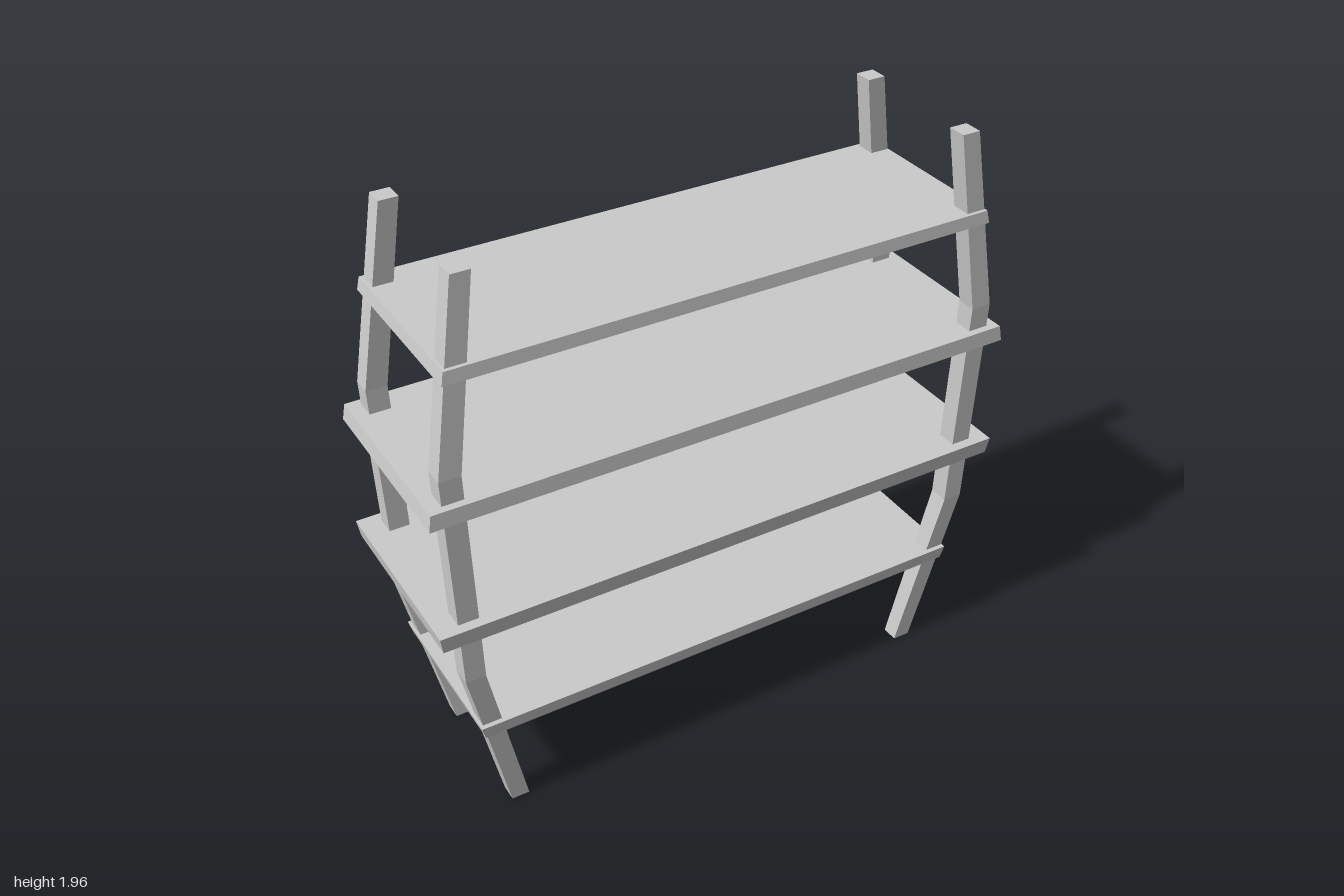
import * as THREE from 'three';

const material = new THREE.MeshStandardMaterial({ color: 0xcccccc, flatShading: true });

// Bent leg stations, bottom to top: y, inner x, outer x, inner z, outer z
const LEG = [
  [0.00, 0.730, 0.790, 0.190, 0.247],
  [0.60, 0.858, 0.924, 0.220, 0.288],
  [1.35, 0.880, 0.949, 0.230, 0.296],
  [1.955, 0.792, 0.853, 0.206, 0.270],
];

// Shelves: bottom y, top y, half width at bottom and top, half depth at bottom and top
const SHELVES = [
  [0.347, 0.392, 0.871, 0.884, 0.285, 0.290],
  [0.775, 0.832, 0.990, 0.999, 0.318, 0.325],
  [1.217, 1.270, 0.995, 0.986, 0.323, 0.320],
  [1.650, 1.692, 0.909, 0.901, 0.298, 0.294],
];

// Box whose vertices are moved by a rule
function shapedBox(name, segments, rule) {
  const geometry = new THREE.BoxGeometry(1, 1, 1, 1, segments, 1);
  const p = geometry.attributes.position;
  for (let i = 0; i < p.count; i++) {
    const level = Math.round((p.getY(i) + 0.5) * segments);
    p.setXYZ(i, ...rule(Math.sign(p.getX(i)), level, Math.sign(p.getZ(i))));
  }
  geometry.computeVertexNormals();
  const mesh = new THREE.Mesh(geometry, material);
  mesh.name = name;
  return mesh;
}

function makeLeg(name, sideX, sideZ) {
  return shapedBox(name, LEG.length - 1, (sx, level, sz) => {
    const [y, xIn, xOut, zIn, zOut] = LEG[level];
    return [sideX * (sx === sideX ? xOut : xIn), y, sideZ * (sz === sideZ ? zOut : zIn)];
  });
}

function makeShelf(name, [y0, y1, w0, w1, d0, d1]) {
  return shapedBox(name, 1, (sx, level, sz) =>
    level ? [sx * w1, y1, sz * d1] : [sx * w0, y0, sz * d0]);
}

export function createModel() {
  const model = new THREE.Group();
  model.name = 'shelfRack';

  // Four bent corner legs
  const legs = new THREE.Group();
  legs.name = 'legs';
  legs.position.x = 0.004;
  for (const sx of [-1, 1]) {
    for (const sz of [-1, 1]) {
      legs.add(makeLeg((sz > 0 ? 'front' : 'back') + (sx > 0 ? 'Left' : 'Right') + 'Leg', sx, sz));
    }
  }
  model.add(legs);

  // Four shelves with slanted edges
  SHELVES.forEach((s, i) => model.add(makeShelf('shelf' + (i + 1), s)));
  return model;
}
